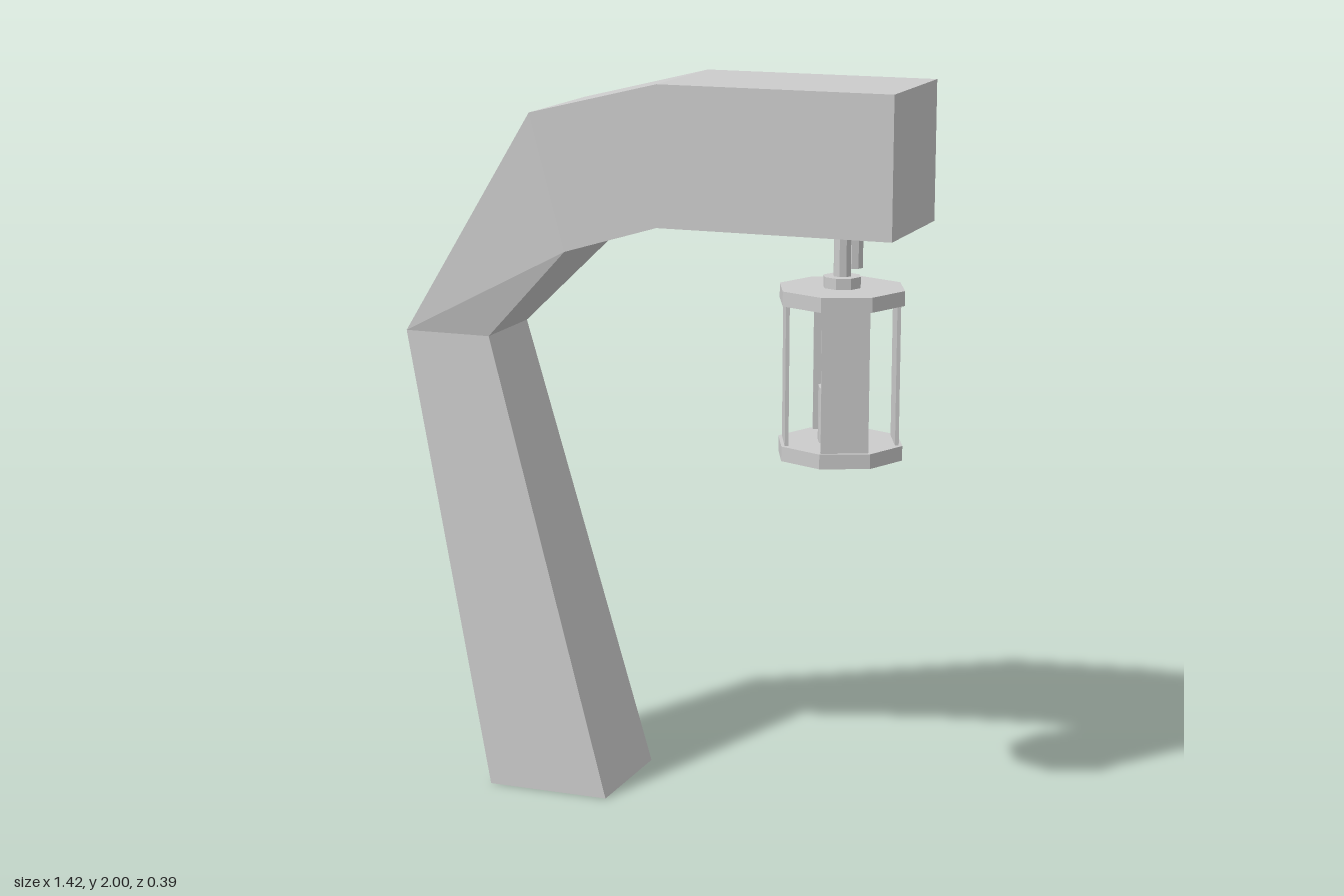
import * as THREE from 'three';

const material = new THREE.MeshStandardMaterial({ color: 0xcccccc, flatShading: true });

function add(parent, name, geometry, x = 0, y = 0, z = 0) {
  const mesh = new THREE.Mesh(geometry, material);
  mesh.name = name;
  mesh.position.set(x, y, z);
  parent.add(mesh);
  return mesh;
}

// Upright eight-sided prism between two heights
function prism(parent, name, radius, y0, y1, x = 0, z = 0) {
  return add(parent, name, new THREE.CylinderGeometry(radius, radius, y1 - y0, 8), x, (y0 + y1) / 2, z);
}

// Curved post: rectangular sections given as outer xy, inner xy, half depth
function postGeometry() {
  const sections = [
    [-0.45, 0, -0.10, 0, 0.175],
    [-0.71, 1.28, -0.46, 1.28, 0.13],
    [-0.305, 1.91, -0.205, 1.54, 0.193],
    [0.06, 2, 0.06, 1.62, 0.193],
    [0.71, 2, 0.71, 1.62, 0.193],
  ];
  const rings = sections.map(([ox, oy, ix, iy, h]) => [
    [ox, oy, h], [ix, iy, h], [ix, iy, -h], [ox, oy, -h],
  ]);
  const positions = [];
  const quad = (a, b, c, d) => positions.push(...a, ...b, ...c, ...a, ...c, ...d);
  for (let i = 0; i < rings.length - 1; i++) {
    for (let k = 0; k < 4; k++) {
      const n = (k + 1) % 4;
      quad(rings[i][k], rings[i][n], rings[i + 1][n], rings[i + 1][k]);
    }
  }
  const first = rings[0], last = rings[rings.length - 1];
  quad(first[3], first[2], first[1], first[0]);
  quad(...last);
  const geometry = new THREE.BufferGeometry();
  geometry.setAttribute('position', new THREE.Float32BufferAttribute(positions, 3));
  geometry.computeVertexNormals();
  return geometry;
}

function createLantern() {
  const lantern = new THREE.Group();
  lantern.name = 'lantern';
  prism(lantern, 'lanternBase', 0.175, 1.0, 1.04);
  prism(lantern, 'lanternCap', 0.175, 1.42, 1.46);
  prism(lantern, 'capCollar', 0.052, 1.46, 1.49);

  // Wall panels on every second side, leaving open windows between
  const radius = 0.165, thickness = 0.01;
  const width = 2 * radius * Math.sin(Math.PI / 8);
  const distance = radius * Math.cos(Math.PI / 8) - thickness / 2;
  for (let i = 0; i < 4; i++) {
    const angle = Math.PI / 8 + i * Math.PI / 2;
    const panel = add(lantern, 'wallPanel', new THREE.BoxGeometry(width, 0.38, thickness),
      Math.sin(angle) * distance, 1.23, Math.cos(angle) * distance);
    panel.rotation.y = angle;
  }

  // Candle and flame
  prism(lantern, 'candle', 0.063, 1.04, 1.19);
  prism(lantern, 'wick', 0.015, 1.19, 1.295);
  add(lantern, 'flameTip', new THREE.ConeGeometry(0.015, 0.03, 8), 0, 1.31, 0);

  // Bent hook that hangs the lantern under the arm
  const hook = new THREE.Group();
  hook.name = 'hook';
  lantern.add(hook);
  prism(hook, 'hookStem', 0.024, 1.49, 1.62);
  prism(hook, 'hookEnd', 0.024, 1.495, 1.62, 0, -0.106);
  const bar = add(hook, 'hookBar', new THREE.CylinderGeometry(0.024, 0.024, 0.106, 8), 0, 1.614, -0.053);
  bar.rotation.x = Math.PI / 2;

  lantern.position.x = 0.515;
  return lantern;
}

export function createModel() {
  const model = new THREE.Group();
  model.name = 'lanternPost';
  add(model, 'curvedPost', postGeometry());
  model.add(createLantern());
  return model;
}
